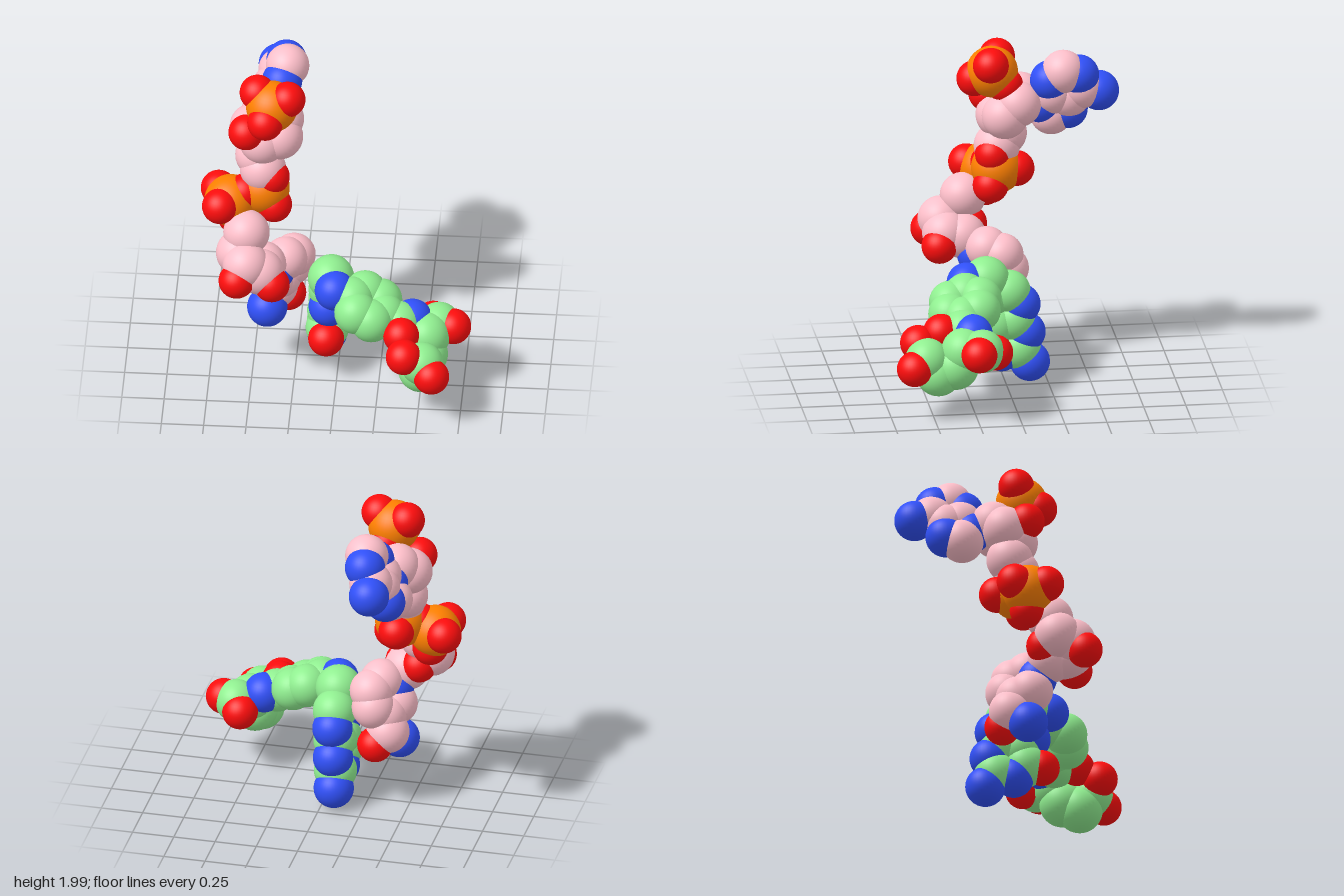
import * as THREE from 'three';

const vec = (x, y, z) => new THREE.Vector3(x, y, z);
const PINK = 0xffc0cb, GREEN = 0x90ee90;

// Atom types; carbons take the colour of their molecule, ring carbons are smaller
const KINDS = {
  C: { name: 'carbon', r: 0.137 },
  A: { name: 'ringCarbon', r: 0.128 },
  N: { name: 'nitrogen', r: 0.119, color: 0x3050f8 },
  O: { name: 'oxygen', r: 0.106, color: 0xff0d0d },
  P: { name: 'phosphorus', r: 0.153, color: 0xff8000 },
};

// Polar coordinates in a tilted plane: angle from "up" towards "side", and distance
function plane(origin, up, side) {
  return (degrees, distance) => {
    const t = THREE.MathUtils.degToRad(degrees);
    return origin.clone()
      .addScaledVector(up, distance * Math.cos(t))
      .addScaledVector(side, distance * Math.sin(t));
  };
}

// Regular ring of atoms; '-' leaves out a corner shared with a fused ring
function ring(add, kinds, at, radius, start) {
  [...kinds].forEach((kind, i) => {
    if (kind !== '-') add(kind, at(start + (360 * i) / kinds.length, radius));
  });
}

// Tetrahedral phosphate: three oxygens on the far side from the apex oxygen
function phosphate(add, centre, apex, first) {
  add('P', centre);
  const axis = apex.clone().sub(centre).normalize();
  const up = first.projectOnPlane(axis).normalize();
  const base = centre.clone().addScaledVector(axis, -0.04);
  ring(add, 'OOO', plane(base, up, axis.clone().cross(up)), 0.11, 0);
}

// Straight-forward chain of atoms through a few points
function chain(add, kinds, ...points) {
  points.forEach((p, i) => add(kinds[i], vec(...p)));
}

export function createModel() {
  const model = new THREE.Group();
  model.name = 'moleculePair';
  const materials = {}, geometries = {};

  // Starts a named part and returns the function that adds atoms to it
  function startPart(name, carbonColor) {
    const group = new THREE.Group();
    group.name = name;
    model.add(group);
    return (kind, position) => {
      const { name: atomName, r, color = carbonColor } = KINDS[kind];
      materials[color] ??= new THREE.MeshStandardMaterial({ color });
      geometries[kind] ??= new THREE.SphereGeometry(r, 36, 22);
      const atom = new THREE.Mesh(geometries[kind], materials[color]);
      atom.name = atomName;
      atom.position.copy(position);
      group.add(atom);
    };
  }
  const back = vec(0, 0, -1);

  // Upper double ring: six corners, a fused five-ring below, one outer nitrogen
  let add = startPart('upperDoubleRing', PINK);
  let up = vec(0.41, 0.91, 0);
  let at = plane(vec(-0.37, 1.735, -0.4), up, back);
  ring(add, 'ANAAAN', at, 0.1, -12);
  add('N', at(108, 0.21));
  ring(add, 'AN--N', plane(at(198, 0.157), up, back), 0.086, 198);

  // Upper sugar: five-ring, link down to the phosphates, one oxygen
  add = startPart('upperSugar', PINK);
  at = plane(vec(-0.425, 1.59, -0.075), vec(-1, 0, 0), vec(0, -0.67, 0.74));
  ring(add, 'CCCCC', at, 0.09, 0);
  chain(add, 'CCO', [-0.48, 1.41, -0.045], [-0.45, 1.34, 0], [-0.545, 1.635, 0.05]);

  // Phosphate at the top
  add = startPart('topPhosphate', PINK);
  let apex = vec(-0.37, 1.74, -0.04);
  add('O', apex);
  phosphate(add, vec(-0.395, 1.82, 0.035), apex, vec(-0.085, 0.075, -0.025));

  // Two phosphates sharing one oxygen
  add = startPart('linkingPhosphates', PINK);
  apex = vec(-0.553, 1.2, 0.04);
  add('O', apex);
  phosphate(add, vec(-0.445, 1.205, 0), apex, vec(0.07, -0.07, 0.03));
  phosphate(add, vec(-0.64, 1.14, 0.05), apex, vec(-0.055, 0.01, 0.08));

  // Lower sugar: five-ring, link up to the phosphates, two oxygens
  add = startPart('lowerSugar', PINK);
  at = plane(vec(-0.5, 0.842, 0.244), vec(-0.33, 0.33, 0.88), vec(0.77, -0.46, 0.45));
  ring(add, 'CCCOC', at, 0.09, 0);
  chain(add, 'COO', [-0.535, 1.01, 0.19], [-0.58, 0.8, 0.39], [-0.375, 0.755, 0.35]);

  // Lower six-ring with its side group
  add = startPart('lowerRing', PINK);
  at = plane(vec(-0.33, 0.663, 0.043), vec(-0.43, 0.32, 0.84), vec(-0.48, -0.86, 0.09));
  ring(add, 'NAAAAA', at, 0.1, 0);
  add('A', at(120, 0.21));
  chain(add, 'NO', [-0.42, 0.39, 0.07], [-0.305, 0.4, -0.07]);

  // Green double ring: two fused six-rings, outer nitrogen and oxygen, link atoms
  add = startPart('greenDoubleRing', GREEN);
  up = vec(0.06, 1, 0);
  at = plane(vec(-0.063, 0.289, -0.015), up, back);
  ring(add, 'ANANAA', at, 0.107, 20);
  add('N', at(142, 0.215));
  add('O', at(262, 0.205));
  ring(add, 'AN--NA', plane(at(350, 0.18), up, back), 0.107, 20);
  chain(add, 'CN', [-0.04, 0.65, 0.115], [-0.01, 0.645, 0.235]);

  // Green single ring and the group joining it to the tail
  add = startPart('greenSingleRing', GREEN);
  at = plane(vec(0.19, 0.567, 0.272), vec(-0.9, 0.41, -0.16), vec(0.25, 0.18, -0.95));
  ring(add, 'AAAAAA', at, 0.102, 0);
  add('A', at(180, 0.21));
  chain(add, 'ON', [0.395, 0.485, 0.44], [0.45, 0.48, 0.26]);

  // Green tail with two oxygen-tipped ends
  add = startPart('greenTail', GREEN);
  chain(add, 'CAOO', [0.54, 0.41, 0.32], [0.605, 0.425, 0.22], [0.69, 0.43, 0.25], [0.565, 0.4, 0.14]);
  chain(add, 'CCAOO', [0.53, 0.31, 0.37], [0.515, 0.27, 0.47], [0.525, 0.36, 0.54], [0.42, 0.43, 0.58], [0.585, 0.325, 0.62]);

  return model;
}
